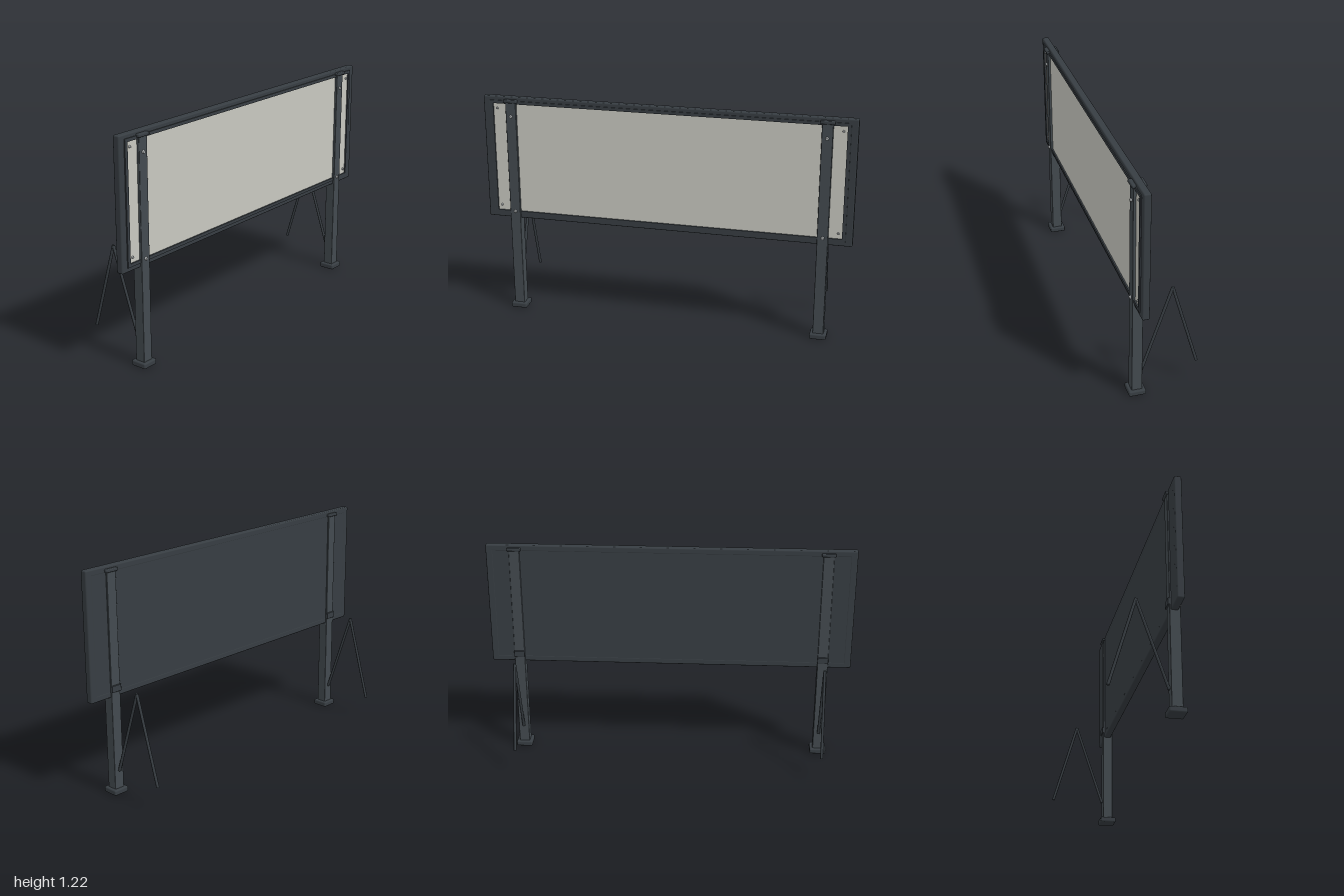
import * as THREE from 'three';
import { RoundedBoxGeometry } from 'three/addons/geometries/RoundedBoxGeometry.js';

const material = (name, color) => {
  const m = new THREE.MeshStandardMaterial({ color });
  m.name = name;
  return m;
};

export function createModel() {
  const model = new THREE.Group();
  model.name = 'billboard';
  const frameMat = material('dark frame', 0x373d42);
  const postMat = material('steel post', 0x434a4f);
  const panelMat = material('pale panel', 0xc8c8c0);
  const boltMat = material('bolt metal', 0xb4b8ba);

  const add = (parent, name, geometry, mat, x, y, z) => {
    const mesh = new THREE.Mesh(geometry, mat);
    mesh.name = name;
    mesh.position.set(x, y, z);
    parent.add(mesh);
    return mesh;
  };
  const rounded = (w, h, d, r) => new RoundedBoxGeometry(w, h, d, 2, r);

  // Board: backing sheet, pale face, outer rails and inner bezel
  const board = new THREE.Group();
  board.name = 'board';
  model.add(board);
  const midY = 0.879, boardZ = 0.143;
  add(board, 'backSheet', new THREE.BoxGeometry(1.975, 0.66, 0.026), frameMat, 0, midY, 0.138);
  add(board, 'facePanel', new THREE.BoxGeometry(1.9, 0.62, 0.008), panelMat, 0, midY + 0.001, 0.155);
  for (const s of [-1, 1]) {
    add(board, 'sideRail', rounded(0.04, 0.684, 0.038, 0.007), frameMat, s * 0.98, midY, boardZ);
    add(board, 'endRail', rounded(2, 0.034, 0.038, 0.007), frameMat, 0, midY + s * 0.325, boardZ);
  }
  const rect = (P, w, h) => {
    const p = new P();
    p.moveTo(-w, -h);
    p.lineTo(w, -h);
    p.lineTo(w, h);
    p.lineTo(-w, h);
    p.closePath();
    return p;
  };
  const ring = rect(THREE.Shape, 0.963, 0.32);
  ring.holes.push(rect(THREE.Path, 0.945, 0.303));
  add(board, 'bezel', new THREE.ExtrudeGeometry(ring, { depth: 0.018, bevelEnabled: false }),
    frameMat, 0, midY + 0.001, 0.149);

  // Domed bolt head facing forward
  const bolt = (parent, name, r, x, y, z) => {
    const head = add(parent, name, new THREE.CylinderGeometry(r * 0.7, r, 0.009, 8), boltMat, x, y, z);
    head.rotation.x = Math.PI / 2;
  };

  // Round bar between two points in the side plane
  const bar = (parent, a, b) => {
    const from = new THREE.Vector3(0, ...a), to = new THREE.Vector3(0, ...b);
    const dir = to.clone().sub(from);
    const mid = from.clone().add(to).multiplyScalar(0.5);
    const mesh = add(parent, 'braceBar', new THREE.CylinderGeometry(0.008, 0.008, dir.length(), 8),
      frameMat, mid.x, mid.y, mid.z);
    mesh.quaternion.setFromUnitVectors(new THREE.Vector3(0, 1, 0), dir.normalize());
  };

  for (const s of [-1, 1]) {
    // Post with foot, top clamp, rear clamp and bolts
    const post = new THREE.Group();
    post.name = s > 0 ? 'leftSupport' : 'rightSupport';
    post.position.x = s * 0.845;
    model.add(post);
    add(post, 'post', rounded(0.058, 1.19, 0.056, 0.004), postMat, 0, 0.605, 0.145);
    add(post, 'foot', rounded(0.09, 0.03, 0.09, 0.008), frameMat, 0, 0.015, 0.145);
    add(post, 'topClamp', rounded(0.076, 0.018, 0.074, 0.006), frameMat, 0, 1.199, 0.145);
    add(post, 'rearClamp', rounded(0.06, 0.036, 0.012, 0.003), frameMat, 0, 0.583, 0.115);
    for (const y of [1.115, 0.577]) bolt(post, 'postBolt', 0.01, 0, y, 0.177);
    bolt(post, 'panelScrewTop', 0.007, s * 0.08, 1.155, 0.163);
    bolt(post, 'panelScrewBottom', 0.007, s * 0.08, 0.605, 0.163);

    // Rear brace in an upturned V
    bar(post, [0.128, 0.114], [0.594, -0.042]);
    bar(post, [0.594, -0.042], [0.128, -0.178]);
  }
  return model;
}
